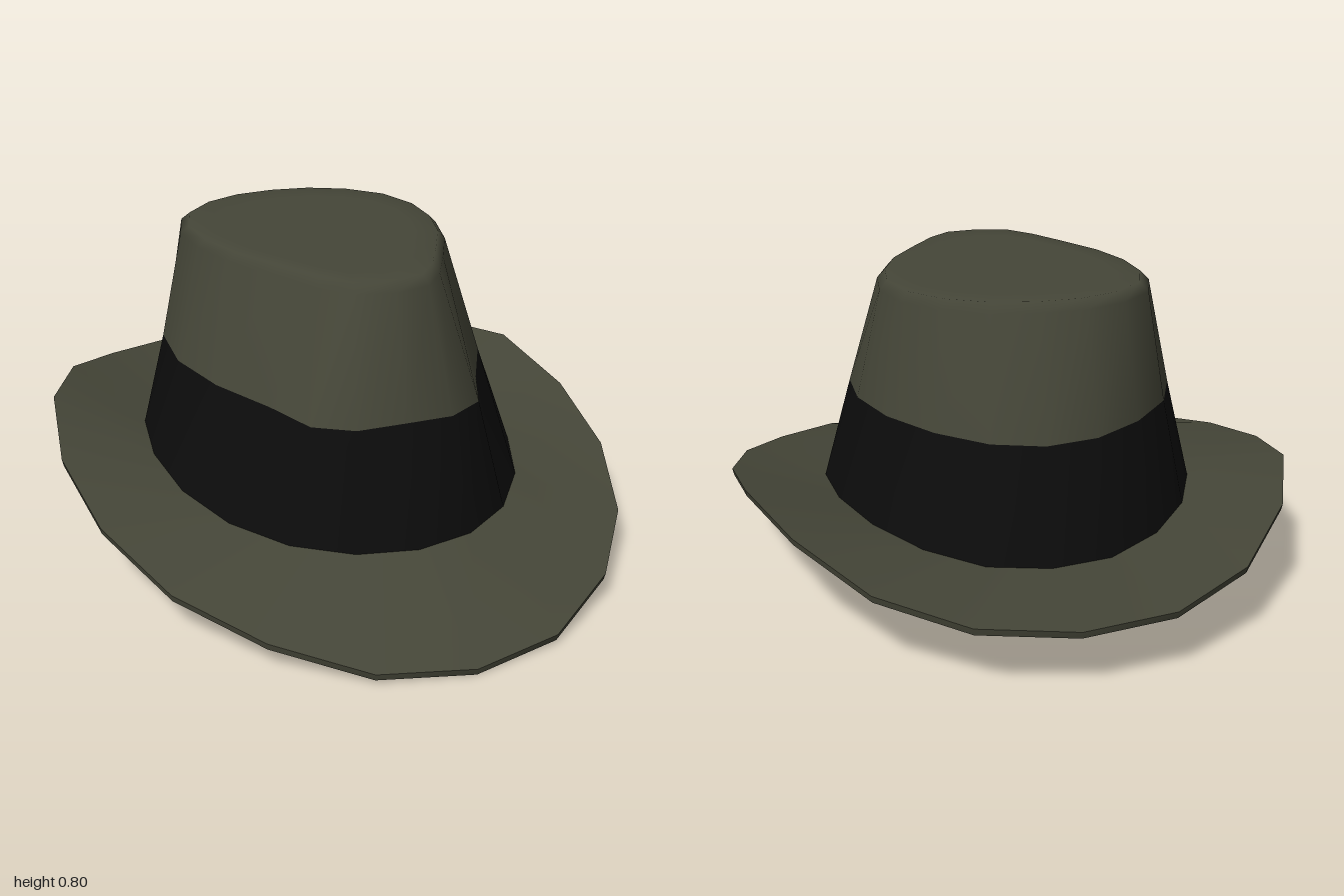
import * as THREE from 'three';

const SEG = 20; // sides around the hat

// Full ring from a half profile: fn(j) gives [x, y, z] for j = 0 (front) .. 10 (back), mirrored in x
function ring(fn) {
  const pts = [];
  for (let k = 0; k < SEG; k++) {
    const j = k <= 10 ? k : SEG - k;
    const [x, y, z] = fn(j);
    pts.push([k <= 10 ? x : -x, y, z]);
  }
  return pts;
}
const angle = j => (j / SEG) * Math.PI * 2;
const ellipse = (a, b, heights, cz = 0) =>
  ring(j => [a * Math.sin(angle(j)), heights[j], cz + b * Math.cos(angle(j))]);

// Scale a ring in plan about the z axis offset cz, and shift it in y
const adjust = (r, s, dy, cz = -0.01) =>
  r.map(([x, y, z]) => [x * s, y + dy, cz + (z - cz) * s]);

// Smooth skin through successive rings
function loft(name, rings, material) {
  const index = [];
  for (let i = 0; i < rings.length - 1; i++) {
    for (let k = 0; k < SEG; k++) {
      const n = (k + 1) % SEG;
      const a = i * SEG + k, b = i * SEG + n, c = b + SEG, d = a + SEG;
      index.push(a, b, c, a, c, d);
    }
  }
  const g = new THREE.BufferGeometry();
  g.setAttribute('position', new THREE.Float32BufferAttribute(rings.flat(2), 3));
  g.setIndex(index);
  g.computeVertexNormals();
  const mesh = new THREE.Mesh(g, material);
  mesh.name = name;
  return mesh;
}

export function createModel() {
  const felt = new THREE.MeshStandardMaterial({ color: 0x454638 });
  felt.name = 'olive felt';
  const ribbon = new THREE.MeshStandardMaterial({ color: 0x0c0c0c });
  ribbon.name = 'black ribbon';

  // Heights of the brim edge and of the crown base, front to back
  const edgeY = [0.02, 0.03, 0.075, 0.115, 0.175, 0.235, 0.29, 0.265, 0.205, 0.175, 0.17];
  const baseY = [0.155, 0.155, 0.158, 0.168, 0.185, 0.205, 0.215, 0.21, 0.195, 0.18, 0.178];
  const bandY = [0.463, 0.456, 0.459, 0.465, 0.472, 0.477, 0.485, 0.485, 0.478, 0.47, 0.465];

  // Plan outlines of the ribbon's upper edge and the teardrop top, front to back
  const bandXZ = [[0, 0.57], [0.13, 0.555], [0.23, 0.5], [0.29, 0.36], [0.38, 0.19], [0.432, 0],
    [0.425, -0.19], [0.365, -0.36], [0.26, -0.49], [0.135, -0.575], [0, -0.6]];
  const topXZ = [[0, 0.485], [0.1, 0.46], [0.165, 0.38], [0.235, 0.25], [0.31, 0.1], [0.352, -0.05],
    [0.36, -0.2], [0.32, -0.34], [0.23, -0.44], [0.12, -0.495], [0, -0.51]];

  const edge = ellipse(0.767, 1, edgeY);
  const base = ellipse(0.51, 0.67, baseY, -0.01);
  const bandTop = ring(j => [bandXZ[j][0], bandY[j], bandXZ[j][1]]);
  const shoulder = ring(j => [topXZ[j][0], 0.775, topXZ[j][1]]);
  const rim = adjust(shoulder, 0.94, 0.022);
  const topInner = adjust(shoulder, 0.75, 0.022);
  const topCentre = adjust(shoulder, 0.001, 0.022);

  const hat = new THREE.Group();
  hat.name = 'hat';

  // Brim: upper face, thin edge and underside
  const edgeLow = adjust(edge, 0.995, -0.018, 0);
  const baseLow = adjust(base, 0.975, -0.016);
  hat.add(loft('brimTop', [edge, base], felt));
  hat.add(loft('brimEdge', [edgeLow, edge], felt));
  hat.add(loft('brimUnderside', [baseLow, edgeLow], felt));

  // Ribbon around the foot of the crown
  hat.add(loft('hatBand', [base, bandTop], ribbon));

  // Pinched crown with a flat top
  hat.add(loft('crown', [bandTop, shoulder, rim, topInner, topCentre], felt));

  // Hollow inside
  const ceiling = adjust(shoulder, 0.96, -0.005);
  hat.add(loft('innerTop', [adjust(ceiling, 0.001, 0), ceiling], felt));
  hat.add(loft('innerWall', [ceiling, adjust(bandTop, 0.97, 0), baseLow], felt));

  return hat;
}
